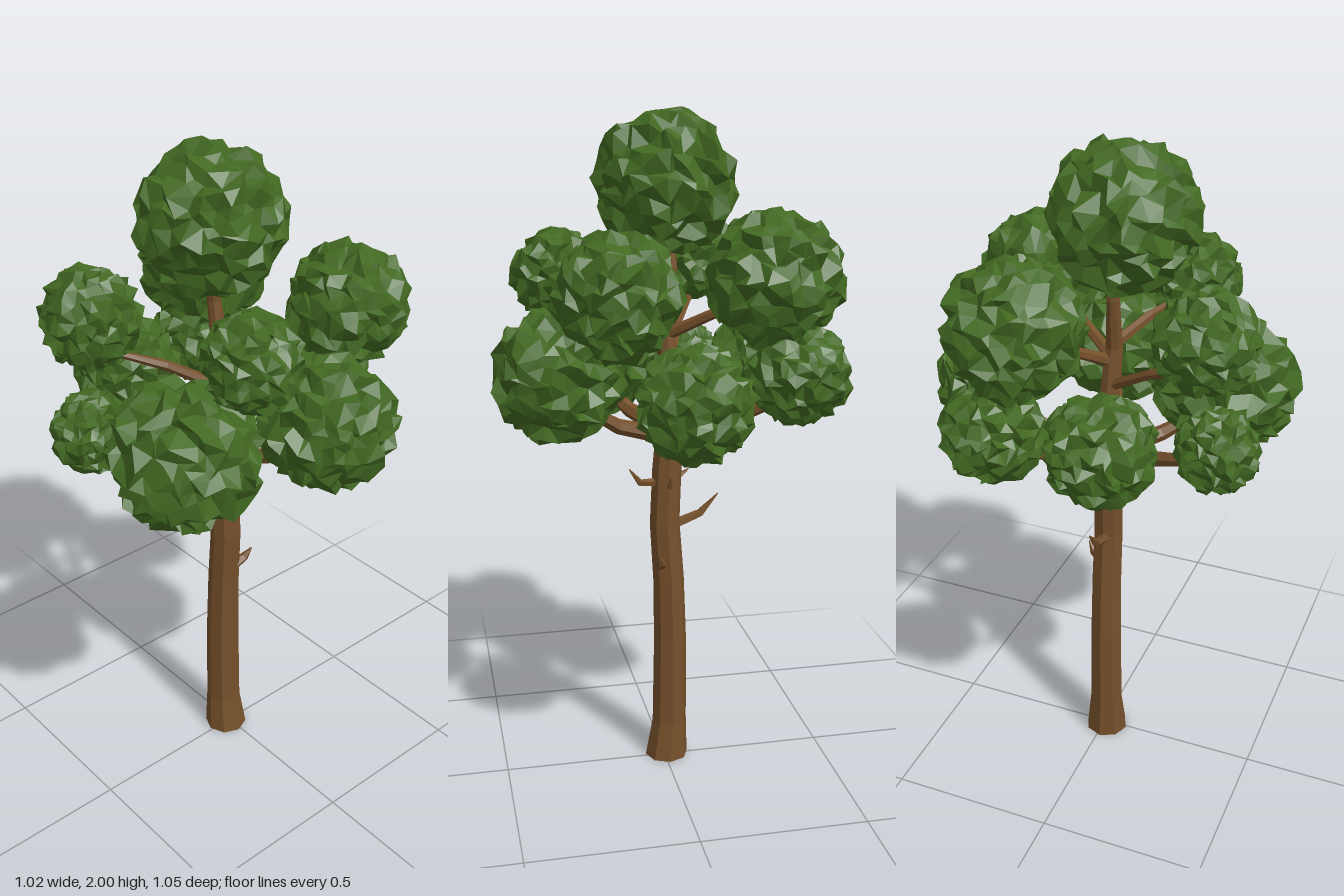
import * as THREE from 'three';
import { mergeVertices } from 'three/addons/utils/BufferGeometryUtils.js';

const bark = new THREE.MeshStandardMaterial({ color: 0x75502b, flatShading: true });
bark.name = 'bark brown';
const leaf = new THREE.MeshStandardMaterial({ color: 0x426922, flatShading: true });
leaf.name = 'leaf green';

// Small seeded random generator
let seed = 7;
function rand() {
  seed = (seed * 16807) % 2147483647;
  return seed / 2147483647;
}

// Tapered limb through stations [x, y, z, radius], closed at both ends
function limb(name, stations, sides) {
  const pts = stations.map(s => new THREE.Vector3(s[0], s[1], s[2]));
  const up = new THREE.Vector3(0, 1, 0);
  const pos = [], idx = [];
  pts.forEach((p, i) => {
    const dir = pts[Math.min(i + 1, pts.length - 1)].clone().sub(pts[Math.max(i - 1, 0)]).normalize();
    const q = new THREE.Quaternion().setFromUnitVectors(up, dir);
    for (let k = 0; k < sides; k++) {
      const a = (k / sides) * Math.PI * 2;
      const v = new THREE.Vector3(Math.sin(a), 0, Math.cos(a)).multiplyScalar(stations[i][3]);
      v.applyQuaternion(q).add(p);
      pos.push(v.x, p.y === 0 ? 0 : v.y, v.z);
    }
  });
  for (let i = 0; i < pts.length - 1; i++) {
    for (let k = 0; k < sides; k++) {
      const a = i * sides + k, b = i * sides + (k + 1) % sides;
      idx.push(a, b, b + sides, a, b + sides, a + sides);
    }
  }
  const last = (pts.length - 1) * sides;
  for (let k = 1; k < sides - 1; k++) {
    idx.push(0, k + 1, k, last, last + k, last + k + 1);
  }
  const indexed = new THREE.BufferGeometry();
  indexed.setAttribute('position', new THREE.Float32BufferAttribute(pos, 3));
  indexed.setIndex(idx);
  const geo = indexed.toNonIndexed();
  geo.computeVertexNormals();
  const mesh = new THREE.Mesh(geo, bark);
  mesh.name = name;
  return mesh;
}

// Rough, spiky faceted ball of leaves
function leafBall(name, x, y, z, r) {
  let geo = new THREE.IcosahedronGeometry(1, 5);
  geo.deleteAttribute('normal');
  geo.deleteAttribute('uv');
  geo = mergeVertices(geo, 1e-3);
  const p = geo.attributes.position;
  const v = new THREE.Vector3();
  for (let i = 0; i < p.count; i++) {
    v.fromBufferAttribute(p, i);
    v.x += (rand() - 0.5) * 0.18;
    v.y += (rand() - 0.5) * 0.18;
    v.z += (rand() - 0.5) * 0.18;
    v.normalize().multiplyScalar(r * (0.84 + 0.24 * rand()));
    p.setXYZ(i, v.x, v.y, v.z);
  }
  geo = geo.toNonIndexed();
  geo.computeVertexNormals();
  const mesh = new THREE.Mesh(geo, leaf);
  mesh.name = name;
  mesh.position.set(x, y, z);
  return mesh;
}

export function createModel() {
  const tree = new THREE.Group();
  tree.name = 'tree';

  // Trunk with a flared foot, thinning into the leader
  tree.add(limb('trunk', [
    [-0.008, 0, 0.01, 0.067], [-0.018, 0.12, 0.012, 0.054], [-0.02, 0.4, 0.012, 0.051],
    [-0.015, 0.6, 0.012, 0.048], [-0.003, 0.78, 0.013, 0.046], [-0.01, 0.95, 0.015, 0.045],
    [-0.022, 1.1, 0.018, 0.042], [-0.022, 1.22, 0.022, 0.032], [-0.003, 1.4, 0.03, 0.026],
    [-0.025, 1.55, 0.035, 0.02], [-0.01, 1.79, 0.055, 0.008],
  ], 8));

  // Leaf balls: x, y, z, radius, height where the branch leaves the trunk
  const balls = [
    ['crownLeaves', -0.01, 1.788, 0.06, 0.205, 0],
    ['rightUpperLeaves', -0.287, 1.535, -0.145, 0.193, 1.38],
    ['backUpperLeaves', 0.188, 1.52, -0.28, 0.174, 1.4],
    ['leftUpperLeaves', 0.29, 1.52, 0.17, 0.135, 1.42],
    ['frontUpperLeaves', -0.17, 1.54, 0.35, 0.142, 1.3],
    ['leftLowerLeaves', 0.32, 1.27, -0.08, 0.19, 1.07],
    ['frontLowerLeaves', 0.178, 1.247, 0.31, 0.207, 1.08],
    ['rightLowerLeaves', -0.325, 1.25, 0.12, 0.155, 1.07],
    ['backLowerLeaves', -0.01, 1.235, -0.36, 0.16, 1.06],
    ['rightBackLowerLeaves', -0.355, 1.265, -0.18, 0.146, 1.08],
    ['frontSmallLeaves', -0.14, 1.21, 0.385, 0.118, 1.08],
  ];
  for (const [name, x, y, z, r, h] of balls) {
    tree.add(leafBall(name, x, y, z, r));
    if (!h) continue;
    // Supporting branch: leaves flat, then turns up into the ball
    const lower = h < 1.2;
    const w = lower ? 0.027 : 0.018;
    const mid = h + (y - h) * (lower ? 0.15 : 0.3);
    tree.add(limb(name.replace('Leaves', 'Branch'), [
      [-0.015, h - 0.02, 0.02, w], [x * 0.45, mid, 0.02 + (z - 0.02) * 0.45, w * 0.85],
      [x * 0.78, h + (y - h) * 0.5, 0.02 + (z - 0.02) * 0.78, w * 0.6], [x, y, z, w * 0.2],
    ], 6));
  }

  // Bare broken twigs on the trunk
  const twigs = [
    [[-0.03, 0.77, 0.015, 0.016], [-0.115, 0.8, 0.02, 0.013], [-0.17, 0.86, 0.02, 0.002]],
    [[0.01, 0.91, 0.01, 0.014], [0.075, 0.915, 0.0, 0.011], [0.108, 0.96, -0.005, 0.002]],
    [[-0.03, 0.91, 0.03, 0.012], [-0.06, 0.92, 0.045, 0.009], [-0.085, 0.935, 0.05, 0.002]],
    [[0.01, 0.65, -0.01, 0.018], [0.02, 0.67, -0.045, 0.014], [0.03, 0.7, -0.065, 0.002]],
    [[-0.01, 0.9, -0.01, 0.01], [-0.01, 0.91, -0.035, 0.008], [-0.01, 0.94, -0.05, 0.002]],
  ];
  for (const t of twigs) tree.add(limb('twig', t, 5));

  return tree;
}
